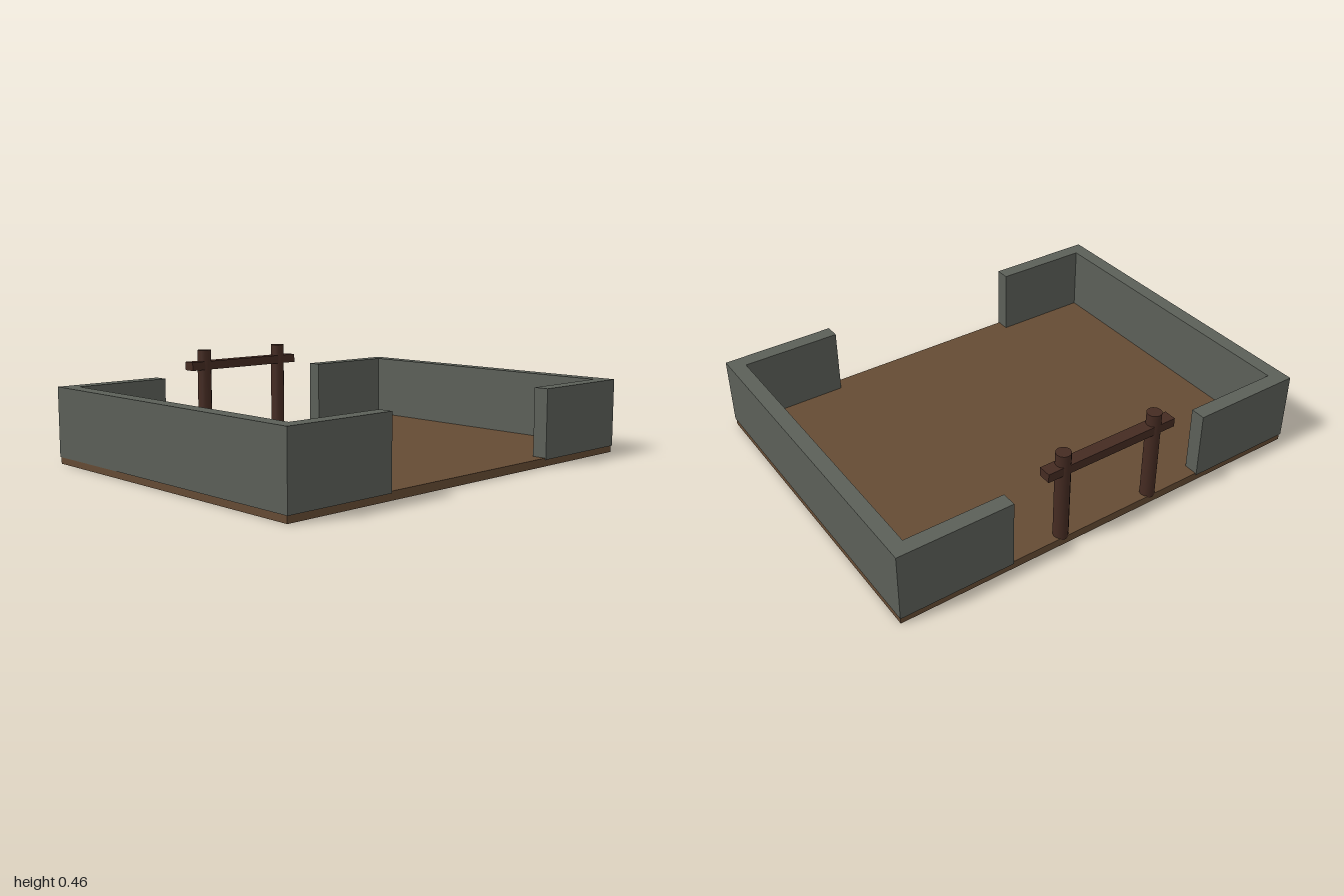
import * as THREE from 'three';

export function createModel() {
  const model = new THREE.Group();
  model.name = 'walledYard';

  const material = (name, color) => {
    const m = new THREE.MeshStandardMaterial({ color });
    m.name = name;
    return m;
  };
  const stone = material('grey stone', 0x5b5f58);
  const earth = material('brown earth', 0x654b34);
  const wood = material('dark wood', 0x452b22);

  const add = (name, geometry, mat, x, y, z) => {
    const mesh = new THREE.Mesh(geometry, mat);
    mesh.name = name;
    mesh.position.set(x, y, z);
    model.add(mesh);
  };

  // Ground slab
  add('ground', new THREE.BoxGeometry(1.994, 0.037, 1.514), earth, 0, 0.0185, 0);

  // One C-shaped wall per side, open in the middle of the front and back
  const X = 1, Z = 0.762, T = 0.068, GAP = 0.483;
  const bottom = 0.03, top = 0.341;
  for (const side of [1, -1]) {
    const outline = [
      [GAP, -Z], [X, -Z], [X, Z], [GAP, Z],
      [GAP, Z - T], [X - T, Z - T], [X - T, T - Z], [GAP, T - Z],
    ].map(([x, z]) => new THREE.Vector2(side * x, z));
    const wall = new THREE.ExtrudeGeometry(new THREE.Shape(outline), {
      depth: top - bottom, bevelEnabled: false,
    });
    wall.rotateX(-Math.PI / 2);
    add(side > 0 ? 'leftWall' : 'rightWall', wall, stone, 0, bottom, 0);
  }

  // Gate at the back: two round posts and a crossbar
  const gateZ = -0.73;
  for (const side of [1, -1]) {
    add(side > 0 ? 'leftGatePost' : 'rightGatePost',
      new THREE.CylinderGeometry(0.033, 0.033, 0.428, 12), wood, side * 0.23, 0.243, gateZ);
  }
  add('gateCrossbar', new THREE.BoxGeometry(0.64, 0.04, 0.057), wood, 0, 0.384, gateZ);

  return model;
}
